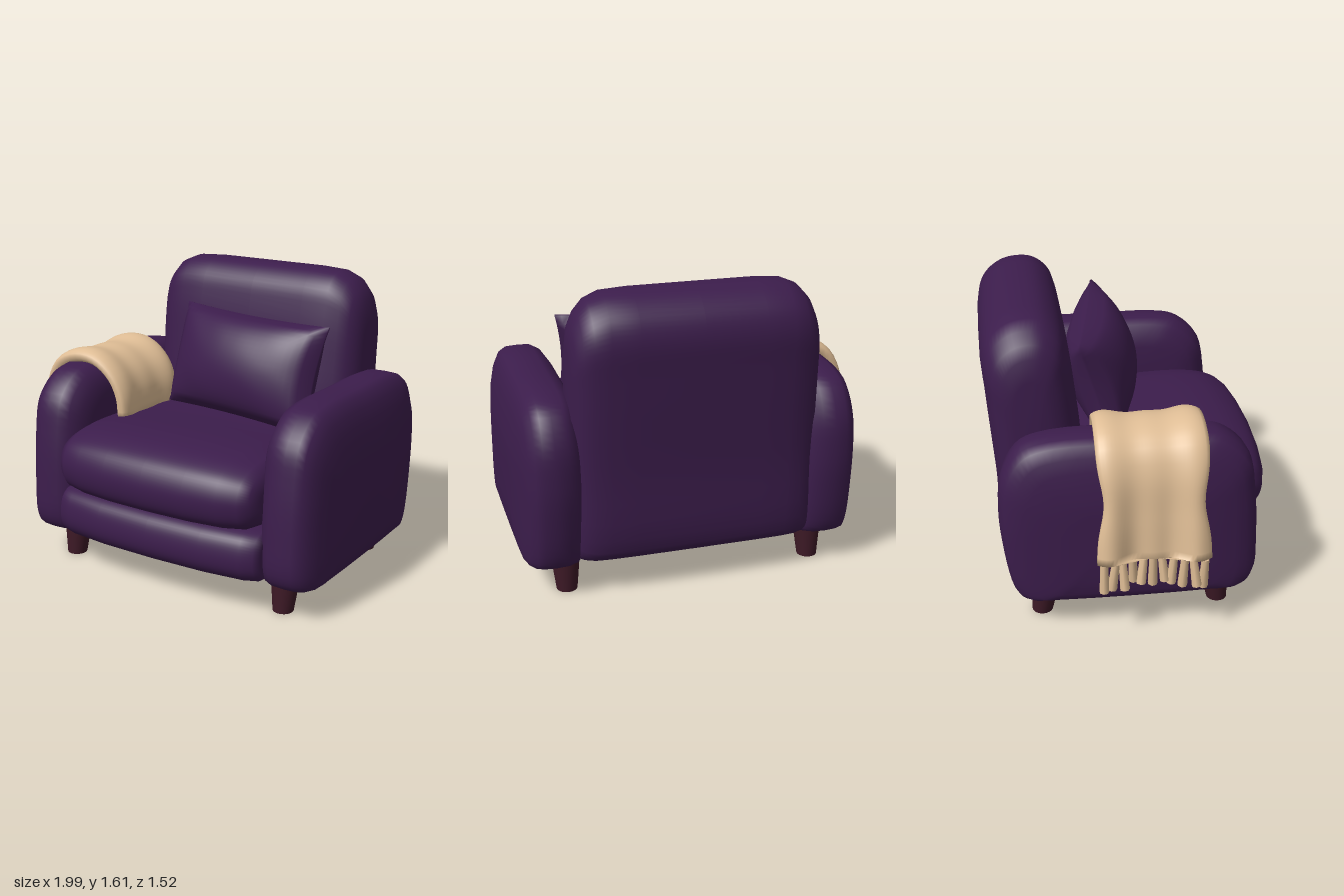
import * as THREE from 'three';
import { mergeVertices } from 'three/addons/utils/BufferGeometryUtils.js';

const mat = (name, color, side = THREE.FrontSide) =>
  Object.assign(new THREE.MeshStandardMaterial({ color, side }), { name });

// Skin a row of closed rings (arrays of Vector3) and cap both ends.
function loft(rings) {
  const n = rings[0].length, pos = [], idx = [];
  rings.forEach(r => r.forEach(p => pos.push(p.x, p.y, p.z)));
  for (let i = 0; i < rings.length - 1; i++) {
    for (let j = 0; j < n; j++) {
      const a = i * n + j, b = i * n + (j + 1) % n;
      idx.push(a, b, b + n, a, b + n, a + n);
    }
  }
  [0, rings.length - 1].forEach((i, end) => {
    const c = rings[i].reduce((s, p) => s.add(p), new THREE.Vector3()).divideScalar(n);
    const k = pos.push(c.x, c.y, c.z) / 3 - 1;
    for (let j = 0; j < n; j++) {
      const a = i * n + j, b = i * n + (j + 1) % n;
      idx.push(k, ...(end ? [a, b] : [b, a]));
    }
  });
  const g = new THREE.BufferGeometry();
  g.setAttribute('position', new THREE.Float32BufferAttribute(pos, 3));
  g.setIndex(idx);
  g.computeVertexNormals();
  return g;
}

// Taper rows: [fraction of half width, depth scale, upper scale, lower scale]
const flip = rows => rows.map(([f, ...s]) => [-f, ...s]).reverse();
const mirror = rows => [...flip(rows.slice(1)), ...rows];

// Padded block: a side outline [z, y] swept across x, scaled about a pivot by the taper rows.
function padded(outline, half, [pz, py], rows) {
  const curve = new THREE.CatmullRomCurve3(
    outline.map(([z, y]) => new THREE.Vector3(0, y, z)), true, 'centripetal');
  const pts = curve.getPoints(72).slice(0, -1);
  return loft(rows.map(([f, sz, up, low]) => pts.map(p => new THREE.Vector3(
    f * half, py + (p.y - py) * (p.y > py ? up : low), pz + (p.z - pz) * sz))));
}

// Throw pillow: pinched edges, pointed corners, full middle.
function pillowGeometry(w, h, t) {
  const g = new THREE.BoxGeometry(2, 2, 2, 28, 20, 1);
  g.deleteAttribute('normal');
  g.deleteAttribute('uv');
  const p = g.attributes.position;
  for (let i = 0; i < p.count; i++) {
    const u = p.getX(i), v = p.getY(i), s = Math.sign(p.getZ(i));
    const full = Math.pow((1 - u * u) * (1 - v * v), 0.48);
    const crease = 1 + 0.05 * Math.sin(u * 9 + v * 4) * Math.abs(u * v);
    p.setXYZ(i, w * u * (1 - 0.06 * (1 - v * v)), h * v * (1 - 0.05 * (1 - u * u)),
      s * (0.006 + t * full * crease));
  }
  const m = mergeVertices(g);
  m.computeVertexNormals();
  return m;
}

// Folds of the throw: sideways offset at z, stronger toward the hanging end.
const fold = (z, k) => k * (0.035 * Math.cos((z - 0.32) * 11) - 0.01 + 0.012 * Math.sin(z * 31));

function throwGeometry() {
  const path = new THREE.CatmullRomCurve3([
    [-0.935, 0.49], [-0.91, 0.72], [-0.87, 0.95], [-0.8, 1.07], [-0.68, 1.125],
    [-0.55, 1.115], [-0.44, 1.03], [-0.39, 0.92], [-0.385, 0.8],
  ].map(([x, y]) => new THREE.Vector3(x, y, 0)));
  const rings = [], N = 32, M = 28;
  for (let i = 0; i <= N; i++) {
    const f = i / N, c = path.getPointAt(f), t = path.getTangentAt(f);
    const k = Math.max(0.3, 1 - f * 1.6);
    const width = 0.58 - 0.07 * Math.exp(-(((f - 0.25) / 0.12) ** 2)) - 0.03 * f - 0.04 * f ** 6;
    const point = (q, offset) => {
      const z = 0.055 + (q - 0.5) * width;
      const edge = Math.sqrt(Math.max(0.1, 1 - (2 * q - 1) ** 8));
      const o = fold(z, k) + offset * edge;
      return new THREE.Vector3(c.x - t.y * o, c.y + t.x * o, z);
    };
    const ring = [];
    for (let j = 0; j <= M; j++) ring.push(point(j / M, 0.028));
    for (let j = M; j >= 0; j--) ring.push(point(j / M, -0.06));
    rings.push(ring);
  }
  return loft(rings);
}

export function createModel() {
  const group = new THREE.Group();
  const fabric = mat('purple fabric', 0x3c1d4c);
  const wood = mat('dark wood', 0x3d1926);
  const wool = mat('tan wool', 0xe0be96, THREE.DoubleSide);
  const add = (name, geo, m, x = 0, y = 0, z = 0) => {
    const mesh = new THREE.Mesh(geo, m);
    mesh.name = name;
    mesh.position.set(x, y, z);
    group.add(mesh);
    return mesh;
  };

  // Arms: steep inner side, rounder outer side
  const armOutline = [
    [-0.05, 1.09], [0.3, 1.09], [0.44, 1.06], [0.57, 0.94], [0.61, 0.75], [0.63, 0.45],
    [0.625, 0.26], [0.58, 0.19], [0.45, 0.18], [-0.5, 0.18], [-0.62, 0.19], [-0.66, 0.26],
    [-0.7, 0.5], [-0.71, 0.68], [-0.69, 0.88], [-0.6, 1.03], [-0.46, 1.08],
  ];
  const armRows = [
    [-1, 0.56, 0.45, 0.65], [-0.96, 0.74, 0.7, 0.88], [-0.87, 0.85, 0.84, 0.97],
    [-0.66, 0.94, 0.95, 1], [-0.38, 0.99, 1, 1], [0, 1, 1, 1], [0.33, 0.99, 0.995, 1],
    [0.55, 0.96, 0.95, 1], [0.72, 0.89, 0.84, 0.99], [0.83, 0.8, 0.7, 0.96],
    [0.91, 0.68, 0.54, 0.87], [0.97, 0.55, 0.38, 0.7], [1, 0.4, 0.24, 0.45],
  ];
  add('leftArm', padded(armOutline, 0.18, [-0.03, 0.6], armRows), fabric, 0.82);
  add('rightArm', padded(armOutline, 0.18, [-0.03, 0.6], flip(armRows)), fabric, -0.665);

  // Backrest
  add('backrest', padded([
    [-0.5, 1.61], [-0.42, 1.59], [-0.345, 1.52], [-0.31, 1.4], [-0.275, 1.15], [-0.245, 0.85],
    [-0.24, 0.3], [-0.3, 0.2], [-0.45, 0.19], [-0.62, 0.195], [-0.68, 0.26], [-0.71, 0.7],
    [-0.75, 1.2], [-0.76, 1.4], [-0.72, 1.51], [-0.62, 1.59],
  ], 0.65, [-0.52, 0.8], mirror([
    [0, 1, 1, 1], [0.5, 0.99, 1, 1], [0.72, 0.96, 0.99, 1], [0.84, 0.89, 0.95, 1],
    [0.92, 0.77, 0.88, 0.99], [0.97, 0.6, 0.8, 0.97], [1, 0.38, 0.66, 0.9],
  ])), fabric, 0.07);

  // Seat cushion and base
  add('seatCushion', padded([
    [0.1, 0.82], [0.45, 0.83], [0.62, 0.8], [0.72, 0.74], [0.76, 0.63], [0.735, 0.52],
    [0.66, 0.465], [0.4, 0.45], [-0.3, 0.45], [-0.38, 0.6], [-0.3, 0.78],
  ], 0.62, [0.2, 0.63], mirror([
    [0, 1, 1, 1], [0.4, 0.985, 0.98, 1], [0.7, 0.95, 0.93, 0.98], [0.88, 0.9, 0.84, 0.92],
    [0.96, 0.83, 0.7, 0.8], [1, 0.7, 0.4, 0.5],
  ])), fabric, 0.07);
  add('seatBase', padded([
    [0, 0.47], [0.6, 0.47], [0.69, 0.43], [0.72, 0.34], [0.71, 0.26], [0.66, 0.205],
    [0.55, 0.19], [0, 0.19], [-0.5, 0.19], [-0.6, 0.23], [-0.6, 0.42], [-0.5, 0.47],
  ], 0.64, [0.1, 0.33], mirror([
    [0, 1, 1, 1], [0.5, 0.985, 1, 1], [0.85, 0.94, 0.99, 1], [0.96, 0.9, 0.95, 0.97],
    [1, 0.84, 0.8, 0.85],
  ])), fabric, 0.07);

  // Throw pillow leaning on the backrest
  const pillow = add('pillow', pillowGeometry(0.5, 0.29, 0.185), fabric, 0.18, 1.1, -0.09);
  pillow.rotation.set(-0.3, -0.16, 0, 'YXZ');

  // Legs: tapered, with the outer face upright
  for (const x of [-0.61, 0.75]) {
    for (const s of [1, -1]) {
      const g = new THREE.CylinderGeometry(0.08, 0.055, 0.21, 20);
      const p = g.attributes.position;
      for (let i = 0; i < p.count; i++) if (p.getY(i) < 0) p.setZ(i, p.getZ(i) + s * 0.025);
      g.computeVertexNormals();
      add(s > 0 ? 'frontLeg' : 'backLeg', g, wood, x, 0.11, s > 0 ? 0.425 : -0.475);
    }
  }

  // Throw blanket with a fringe of tassels
  add('throwBlanket', throwGeometry(), wool);
  const strand = new THREE.CylinderGeometry(0.02, 0.026, 0.18, 7);
  for (let i = 0; i < 11; i++) {
    const z = -0.2 + i * 0.051;
    const tassel = add('tassel', strand, wool, -0.915 - fold(z, 1), 0.405 + 0.012 * Math.sin(i * 2.3), z);
    tassel.rotation.set(0.12 * Math.sin(i * 1.9), 0, 0.15 * Math.sin(i * 2.7));
  }
  return group;
}
